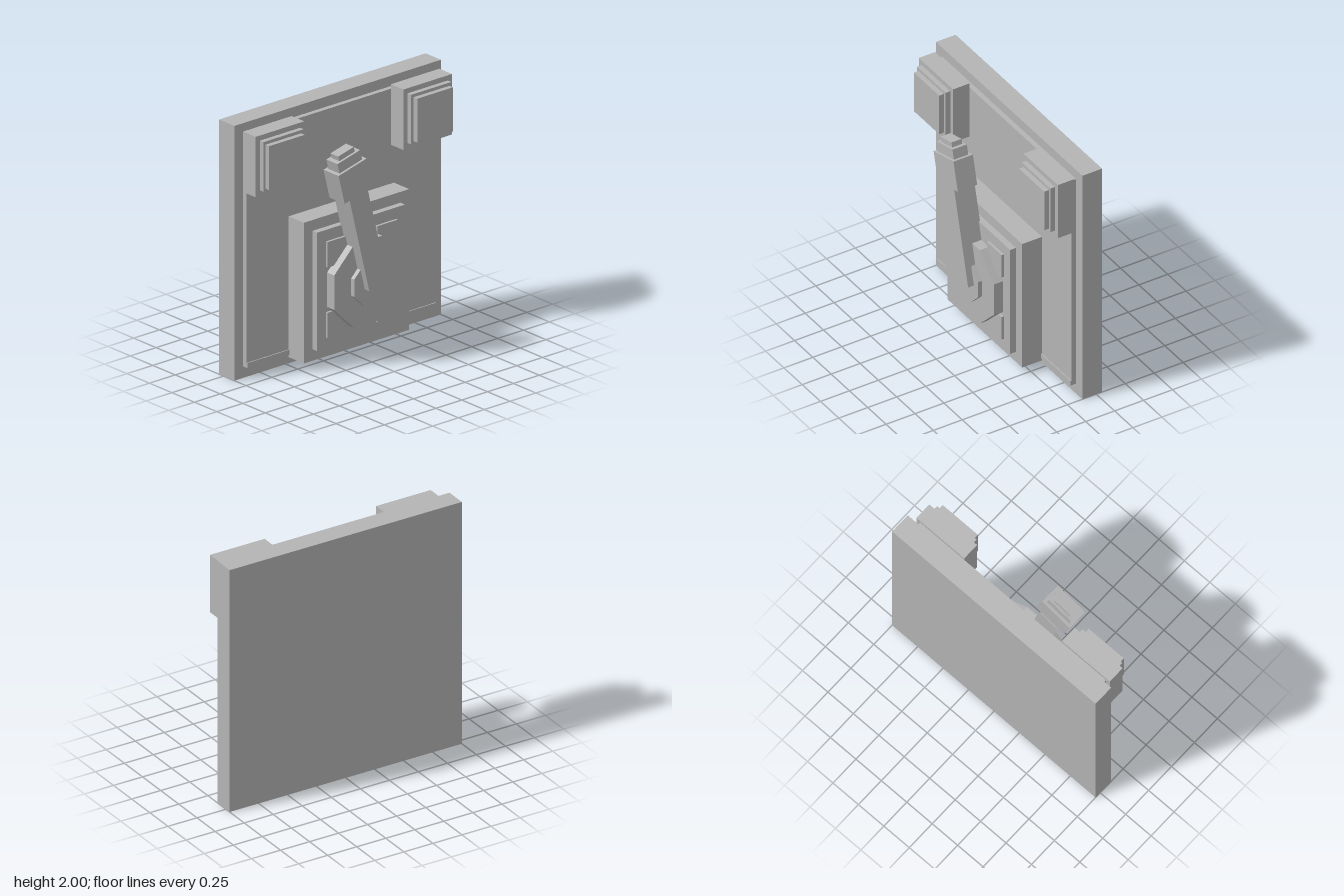
import * as THREE from 'three';

export function createModel() {
  const model = new THREE.Group();
  model.name = 'wallLever';
  const grey = new THREE.MeshStandardMaterial({ color: 0xb4b4b4, flatShading: true });
  grey.name = 'grey';

  // Box given by its extents along each axis
  function box(name, x0, x1, y0, y1, z0, z1, parent = model) {
    const mesh = new THREE.Mesh(new THREE.BoxGeometry(x1 - x0, y1 - y0, z1 - z0), grey);
    mesh.position.set((x0 + x1) / 2, (y0 + y1) / 2, (z0 + z1) / 2);
    mesh.name = name;
    parent.add(mesh);
  }

  // Octagonal disc facing +x, with flat top, bottom and sides
  function octagon(name, x0, x1, y, apothem) {
    const r = apothem / Math.cos(Math.PI / 8);
    const geo = new THREE.CylinderGeometry(r, r, x1 - x0, 8, 1, false, Math.PI / 8);
    geo.rotateZ(-Math.PI / 2);
    const mesh = new THREE.Mesh(geo, grey);
    mesh.position.set((x0 + x1) / 2, y, 0);
    mesh.name = name;
    model.add(mesh);
  }

  // Wall slab and raised panel
  box('wallSlab', -0.3, -0.13, 0, 2, -1, 1);
  box('wallPanel', -0.13, -0.09, 0.09, 1.92, -0.915, 0.915);
  box('bottomLedge', -0.09, -0.082, 0.09, 0.13, -0.915, 0.915);

  // Stepped base of the lever
  box('basePlate', -0.09, 0.08, 0.07, 1.175, -0.51, 0.51);
  box('baseStep', 0.08, 0.13, 0.16, 1.09, -0.425, 0.425);

  for (const s of [-1, 1]) {
    // Stepped blocks in the upper corners
    const block = (name, x0, x1, y0, y1, a, b) =>
      box(name, x0, x1, y0, y1, Math.min(s * a, s * b), Math.max(s * a, s * b));
    block('cornerBlock', -0.09, 0.05, 1.48, 1.955, 0.48, 0.95);
    block('cornerBlockStep', 0.05, 0.09, 1.525, 1.915, 0.52, 0.91);
    block('cornerBlockCap', 0.09, 0.13, 1.545, 1.89, 0.545, 0.89);
    // Pads at the corners of the base
    block('lowerPad', 0.13, 0.15, 0.245, 0.445, 0.14, 0.34);
    block('upperPad', 0.13, 0.15, 0.8, 1.0, 0.14, 0.34);
  }

  // Octagonal pivot
  octagon('pivotDisc', 0.13, 0.21, 0.617, 0.328);
  octagon('pivotHub', 0.21, 0.245, 0.62, 0.165);

  // Lever tilted towards +z, built upright from its lower end
  const lever = new THREE.Group();
  lever.name = 'lever';
  lever.position.set(0, 0.607, -0.024);
  lever.rotation.x = 0.245;
  model.add(lever);
  box('leverArm', 0.12, 0.295, 0, 0.783, -0.09, 0.09, lever);
  box('leverHead', 0.127, 0.295, 0.783, 1.025, -0.14, 0.14, lever);
  box('leverCap', 0.15, 0.275, 1.025, 1.106, -0.113, 0.113, lever);
  box('leverTip', 0.168, 0.255, 1.106, 1.146, -0.077, 0.077, lever);

  return model;
}
